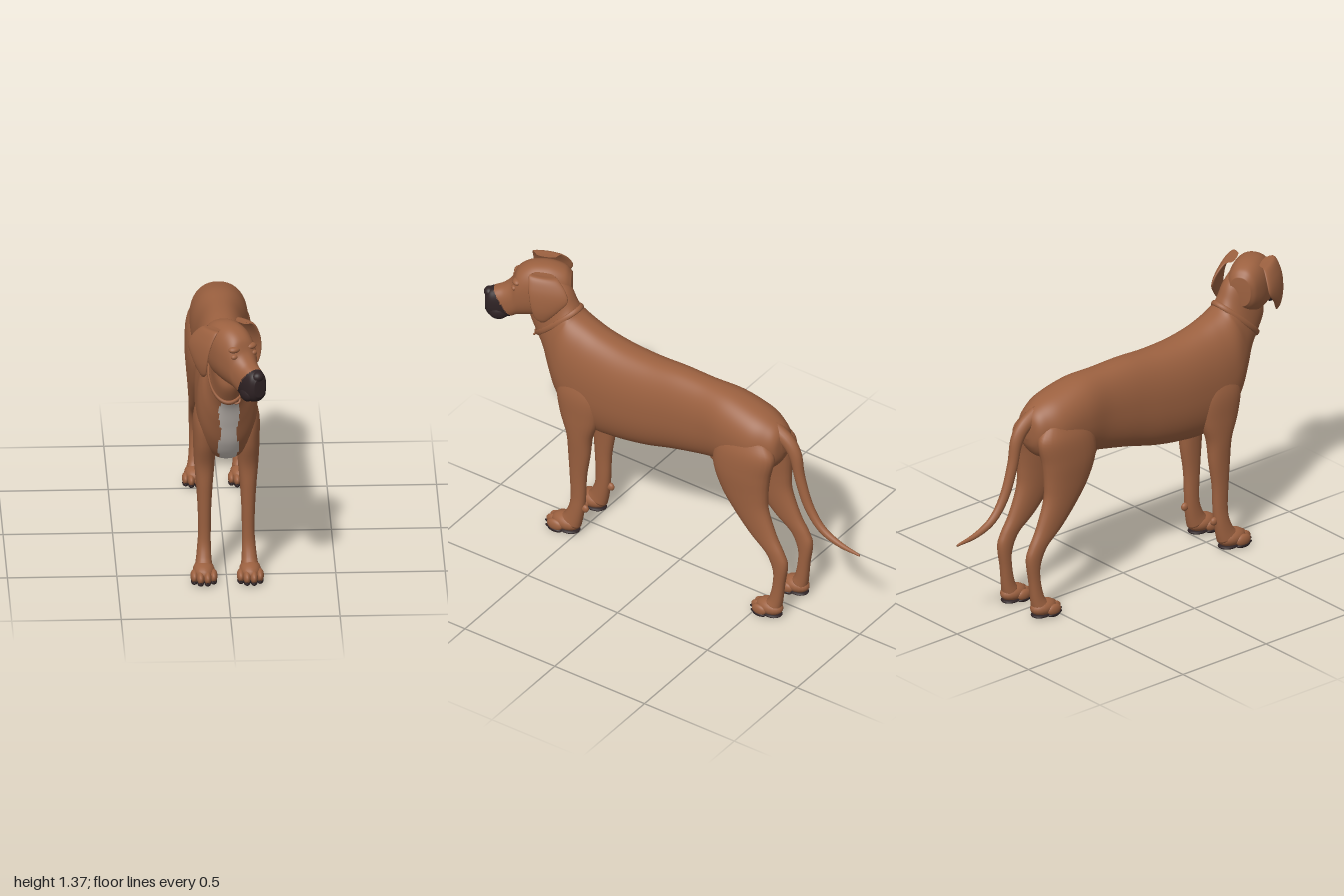
import * as THREE from 'three';

const mat = (name, color) => {
  const m = new THREE.MeshStandardMaterial({ color });
  m.name = name;
  return m;
};

// Loft through oval rings. Row: [z1, y1, z2, y2, halfWidth, x], where the two
// (z, y) points are opposite ends of the ring. paint(center, s) picks a material
// index for a quad; s runs from -1 at the second point to 1 at the first.
function loft(rows, { segs = 24, steps = 6, side = 1, power = 0.9, paint = () => 0 } = {}) {
  const curve = (f) => new THREE.CatmullRomCurve3(rows.map(f), false, 'catmullrom', 0.5);
  const ca = curve((r) => new THREE.Vector3((r[5] || 0) * side, r[1], r[0]));
  const cb = curve((r) => new THREE.Vector3((r[5] || 0) * side, r[3], r[2]));
  const cw = curve((r) => new THREE.Vector3(r[4], 0, 0));
  const n = (rows.length - 1) * steps;
  const pts = [];
  const soft = (v) => Math.sign(v) * Math.abs(v) ** power;
  for (let i = 0; i <= n; i++) {
    const a = ca.getPoint(i / n), b = cb.getPoint(i / n), w = cw.getPoint(i / n).x;
    const c = a.clone().add(b).multiplyScalar(0.5), d = a.clone().sub(c);
    for (let j = 0; j < segs; j++) {
      const t = (j / segs) * Math.PI * 2;
      const p = c.clone().addScaledVector(d, soft(Math.sin(t)));
      p.x += w * soft(Math.cos(t));
      pts.push(p);
    }
  }
  const lists = [[], []];
  for (let i = 0; i < n; i++) for (let j = 0; j < segs; j++) {
    const k = (j + 1) % segs;
    const a = i * segs + j, b = i * segs + k, c = a + segs, d = b + segs;
    const mid = pts[a].clone().add(pts[b]).add(pts[c]).add(pts[d]).multiplyScalar(0.25);
    lists[paint(mid, Math.sin(((j + 0.5) / segs) * Math.PI * 2))].push(a, b, c, b, d, c);
  }
  // end caps
  for (const [start, flip] of [[0, true], [n * segs, false]]) {
    const mid = new THREE.Vector3();
    for (let j = 0; j < segs; j++) mid.addScaledVector(pts[start + j], 1 / segs);
    const m = pts.push(mid) - 1;
    const list = lists[paint(mid, 0)];
    for (let j = 0; j < segs; j++) {
      const a = start + j, b = start + ((j + 1) % segs);
      list.push(...(flip ? [b, a, m] : [a, b, m]));
    }
  }
  // turn all faces outward
  let volume = 0;
  const cross = new THREE.Vector3(), origin = pts[0];
  for (const l of lists) for (let i = 0; i < l.length; i += 3) {
    const [p, q, r] = [0, 1, 2].map((k) => pts[l[i + k]].clone().sub(origin));
    volume += p.dot(cross.crossVectors(q, r));
  }
  if (volume < 0) lists.forEach((l) => l.reverse());
  const g = new THREE.BufferGeometry().setFromPoints(pts);
  g.setIndex([...lists[0], ...lists[1]]);
  g.addGroup(0, lists[0].length, 0);
  g.addGroup(lists[0].length, lists[1].length, 1);
  g.computeVertexNormals();
  return g;
}

export function createModel() {
  const fur = mat('brown fur', 0x9c6140);
  const dark = mat('dark muzzle and pads', 0x2e2224);
  const white = mat('white chest', 0xc9c1ba);
  const dog = new THREE.Group();
  dog.name = 'dog';

  const add = (parent, name, geometry, material) => {
    const m = new THREE.Mesh(geometry, material);
    m.name = name;
    parent.add(m);
    return m;
  };
  const blob = (parent, name, material, pos, radii) => {
    const m = add(parent, name, new THREE.SphereGeometry(1, 20, 14), material);
    m.position.set(...pos);
    m.scale.set(...radii);
    return m;
  };

  // torso and neck with a white strip along chest and belly
  const torso = loft([
    [-0.585, 0.93, -0.585, 0.86, 0.02], [-0.57, 0.975, -0.57, 0.81, 0.07],
    [-0.53, 1.01, -0.53, 0.76, 0.10], [-0.45, 1.045, -0.45, 0.73, 0.13],
    [-0.30, 1.08, -0.32, 0.71, 0.132], [-0.15, 1.085, -0.18, 0.685, 0.116],
    [0, 1.088, 0, 0.645, 0.12], [0.15, 1.08, 0.15, 0.605, 0.13],
    [0.30, 1.085, 0.30, 0.58, 0.138], [0.42, 1.105, 0.44, 0.572, 0.14],
    [0.50, 1.13, 0.56, 0.605, 0.14], [0.55, 1.15, 0.64, 0.70, 0.135],
    [0.57, 1.165, 0.695, 0.82, 0.118], [0.575, 1.18, 0.74, 0.92, 0.095],
    [0.59, 1.21, 0.785, 0.99, 0.08], [0.62, 1.27, 0.82, 1.06, 0.075],
    [0.68, 1.33, 0.82, 1.12, 0.07],
  ], {
    segs: 88, steps: 8,
    paint: (p, s) => {
      const half = (0.042 + 0.006 * Math.sin(p.y * 30)) * Math.min(1, Math.max(0, (p.z + 0.1) / 0.3));
      return s < -0.4 && p.y < 0.96 && Math.abs(p.x - 0.004) < half ? 1 : 0;
    },
  });
  add(dog, 'torso', torso, [fur, white]);
  blob(dog, 'sheath', fur, [0, 0.68, -0.225], [0.026, 0.036, 0.065]);

  // collar with small buckle
  const collar = add(dog, 'collar', new THREE.TorusGeometry(1, 0.06, 10, 64), fur);
  collar.position.set(0, 1.08, 0.675);
  collar.rotation.x = -0.82;
  collar.scale.set(0.088, 0.152, 0.22);
  const buckle = add(dog, 'collarBuckle', new THREE.TorusGeometry(0.016, 0.005, 8, 20), fur);
  buckle.position.set(0.035, 0.985, 0.775);
  buckle.rotation.x = -0.6;

  // tail
  add(dog, 'tail', loft([
    [-0.53, 1.01, -0.53, 0.92, 0.036], [-0.62, 0.955, -0.585, 0.89, 0.031],
    [-0.67, 0.88, -0.62, 0.83, 0.027], [-0.69, 0.76, -0.645, 0.73, 0.024],
    [-0.735, 0.62, -0.695, 0.595, 0.021], [-0.80, 0.525, -0.775, 0.495, 0.018],
    [-0.89, 0.477, -0.88, 0.45, 0.013], [-0.995, 0.452, -1.0, 0.44, 0.005],
  ], { segs: 16, power: 1 }), fur);

  const frontRows = [
    [0.57, 0.92, 0.44, 0.92, 0.025, 0.09], [0.61, 0.80, 0.38, 0.80, 0.05, 0.1],
    [0.595, 0.68, 0.39, 0.67, 0.052, 0.1], [0.555, 0.56, 0.425, 0.56, 0.047, 0.1],
    [0.547, 0.45, 0.437, 0.45, 0.038, 0.1], [0.54, 0.33, 0.455, 0.33, 0.031, 0.1],
    [0.535, 0.22, 0.46, 0.22, 0.029, 0.1], [0.54, 0.16, 0.465, 0.15, 0.031, 0.102],
    [0.56, 0.11, 0.475, 0.085, 0.035, 0.104], [0.58, 0.085, 0.485, 0.04, 0.04, 0.105],
  ];
  const hindRows = [
    [-0.35, 0.95, -0.53, 0.93, 0.035, 0.08], [-0.27, 0.85, -0.58, 0.86, 0.06, 0.088],
    [-0.255, 0.74, -0.56, 0.75, 0.063, 0.092], [-0.30, 0.62, -0.55, 0.65, 0.054, 0.094],
    [-0.37, 0.52, -0.555, 0.56, 0.045, 0.095], [-0.46, 0.42, -0.60, 0.44, 0.035, 0.097],
    [-0.55, 0.345, -0.645, 0.36, 0.029, 0.1], [-0.59, 0.26, -0.665, 0.30, 0.027, 0.1],
    [-0.59, 0.18, -0.65, 0.19, 0.026, 0.1], [-0.575, 0.11, -0.64, 0.10, 0.029, 0.102],
    [-0.56, 0.08, -0.63, 0.04, 0.036, 0.104],
  ];

  // paw with four toes, dark pads and claws
  function paw(name, x, z, scale) {
    const g = new THREE.Group();
    g.name = name;
    g.position.set(x, 0, z);
    g.scale.setScalar(scale);
    blob(g, 'foot', fur, [0, 0.05, 0], [0.05, 0.042, 0.075]);
    blob(g, 'pad', dark, [0, 0.013, -0.015], [0.044, 0.013, 0.055]);
    for (const [dx, dz] of [[-0.044, 0.035], [-0.016, 0.057], [0.016, 0.057], [0.044, 0.035]]) {
      blob(g, 'toe', fur, [dx, 0.037, dz], [0.018, 0.029, 0.042]);
      blob(g, 'toePad', dark, [dx, 0.012, dz], [0.016, 0.012, 0.038]);
      blob(g, 'claw', dark, [dx, 0.018, dz + 0.038], [0.005, 0.008, 0.013]);
    }
    dog.add(g);
  }

  for (const [side, label] of [[1, 'left'], [-1, 'right']]) {
    add(dog, label + 'FrontLeg', loft(frontRows, { side }), fur);
    blob(dog, label + 'WristPad', fur, [0.102 * side, 0.155, 0.46], [0.014, 0.02, 0.02]);
    paw(label + 'FrontPaw', 0.106 * side, 0.56, 1);
    add(dog, label + 'HindLeg', loft(hindRows, { side }), fur);
    paw(label + 'HindPaw', 0.105 * side, -0.572, 0.92);
  }

  // head, turned to its left
  const head = new THREE.Group();
  head.name = 'head';
  head.position.set(0, 0, 0.76);
  head.rotation.y = Math.PI / 6;
  dog.add(head);
  const skull = [
    [-0.13, 1.31, 1.17, 0.05], [-0.10, 1.343, 1.14, 0.072], [-0.04, 1.364, 1.10, 0.088],
    [0.03, 1.366, 1.09, 0.092], [0.08, 1.352, 1.085, 0.086], [0.12, 1.32, 1.08, 0.076],
    [0.145, 1.265, 1.068, 0.065], [0.18, 1.232, 1.058, 0.058], [0.22, 1.215, 1.055, 0.053],
    [0.25, 1.203, 1.065, 0.045], [0.268, 1.18, 1.09, 0.028],
  ].map(([z, top, bottom, w]) => [z, top, z, bottom, w]);
  add(head, 'skullAndMuzzle', loft(skull, {
    segs: 64, steps: 9, power: 0.85,
    paint: (p) => (p.z > 0.15 + Math.max(0, p.y - 1.08) * 0.6 ? 1 : 0),
  }), [fur, dark]);
  blob(head, 'nose', dark, [0, 1.185, 0.25], [0.028, 0.024, 0.025]);

  for (const [side, label] of [[1, 'left'], [-1, 'right']]) {
    blob(head, label + 'Brow', fur, [0.043 * side, 1.282, 0.118], [0.03, 0.016, 0.022]);
    blob(head, label + 'Eye', fur, [0.052 * side, 1.252, 0.132], [0.017, 0.012, 0.013]);
    blob(head, label + 'Lip', dark, [0.032 * side, 1.095, 0.205], [0.026, 0.038, 0.045]);
    // drooping ear
    add(head, label + 'Ear', loft([
      [0.04, 1.355, -0.05, 1.345, 0.010, 0.07], [0.06, 1.355, -0.075, 1.34, 0.015, 0.098],
      [0.06, 1.31, -0.11, 1.295, 0.014, 0.125], [0.055, 1.26, -0.12, 1.245, 0.013, 0.14],
      [0.045, 1.20, -0.075, 1.19, 0.012, 0.145], [0.03, 1.15, -0.035, 1.145, 0.010, 0.14],
      [0.005, 1.125, -0.015, 1.125, 0.004, 0.135],
    ], { side, power: 1 }), fur);
  }
  return dog;
}
